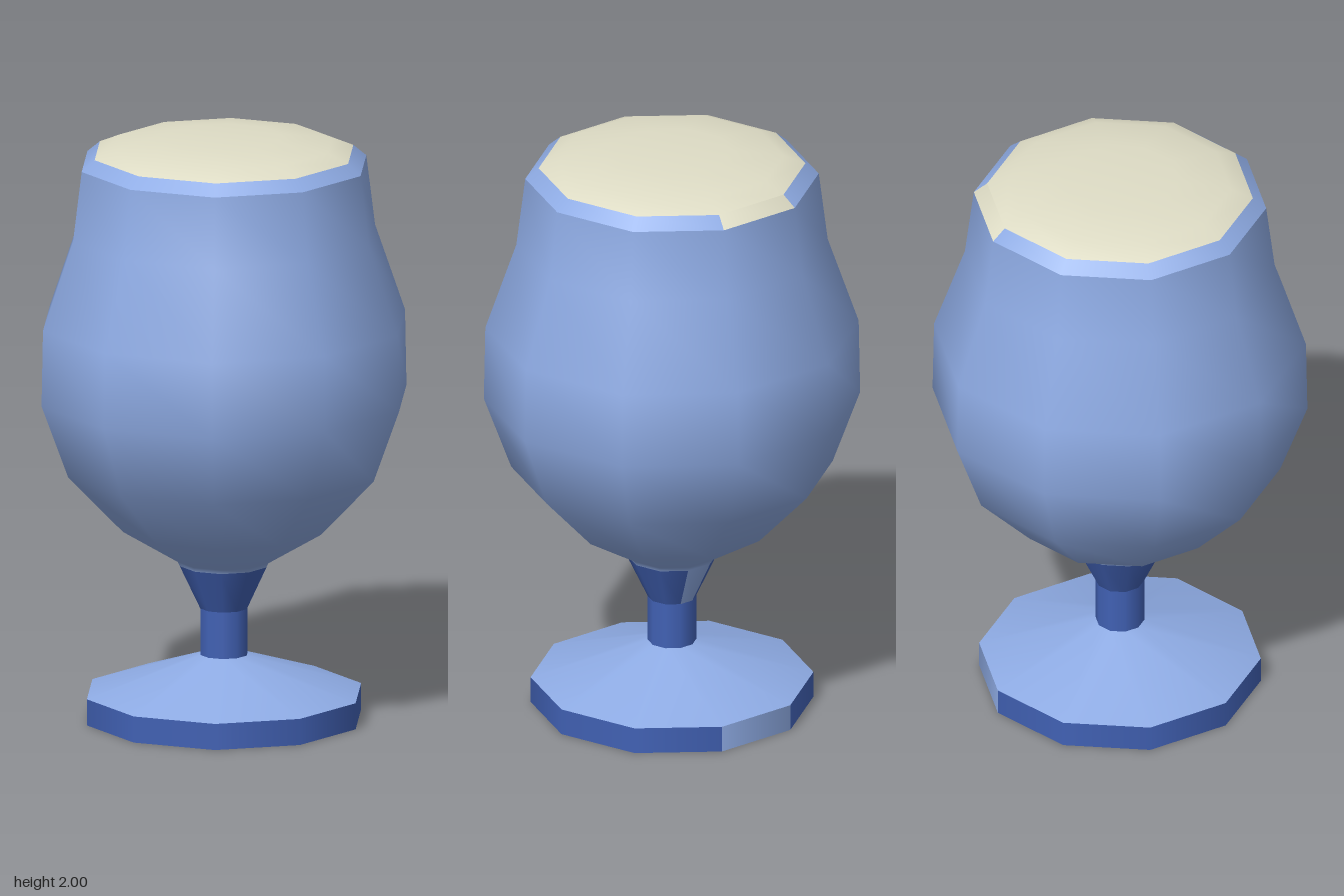
import * as THREE from 'three';

const SIDES = 10;
const STEP = (Math.PI * 2) / SIDES;

export function createModel() {
  const group = new THREE.Group();
  const mat = (name, color) => {
    const m = new THREE.MeshStandardMaterial({ color });
    m.name = name;
    return m;
  };
  const paleBlue = mat('pale blue glass', 0x8eabe4);
  const deepBlue = mat('deep blue glass', 0x4161b4);
  const cream = mat('cream foam', 0xdfddc6);

  // Ten-sided turned surface; profile runs bottom to top, from one side index over a count of sides
  const turned = (name, material, profile, first = 0, count = SIDES) => {
    const points = profile.map(([r, y]) => new THREE.Vector2(r, y));
    const geo = new THREE.LatheGeometry(points, count, first * STEP, count * STEP);
    const mesh = new THREE.Mesh(geo, material);
    mesh.name = name;
    group.add(mesh);
  };
  // Band whose one rear side (index 4) has a different colour
  const splitBand = (name, main, accent, profile) => {
    turned(name, main, profile, 5, SIDES - 1);
    turned(name + 'Accent', accent, profile, 4, 1);
  };

  // Foot
  turned('footUnderside', deepBlue, [[0, 0], [0.475, 0]]);
  splitBand('footEdge', deepBlue, paleBlue, [[0.475, 0], [0.475, 0.09]]);
  turned('footSlope', paleBlue, [[0.475, 0.09], [0.08, 0.22]]);

  // Stem
  turned('stem', deepBlue, [[0.082, 0.22], [0.082, 0.38]]);
  splitBand('stemFlare', deepBlue, paleBlue, [[0.082, 0.38], [0.153, 0.53]]);

  // Bowl
  turned('bowl', paleBlue, [
    [0.153, 0.53], [0.16, 0.545], [0.35, 0.66], [0.54, 0.86], [0.632, 1.11],
    [0.627, 1.37], [0.523, 1.67], [0.493, 1.91],
  ]);

  // Bevelled rim, with foam spilling over one side
  splitBand('rim', paleBlue, cream, [[0.493, 1.91], [0.448, 1.948]]);

  // Foam dome
  turned('foam', cream, [[0.448, 1.948], [0.375, 1.978], [0.2, 2], [0, 2]]);

  return group;
}
